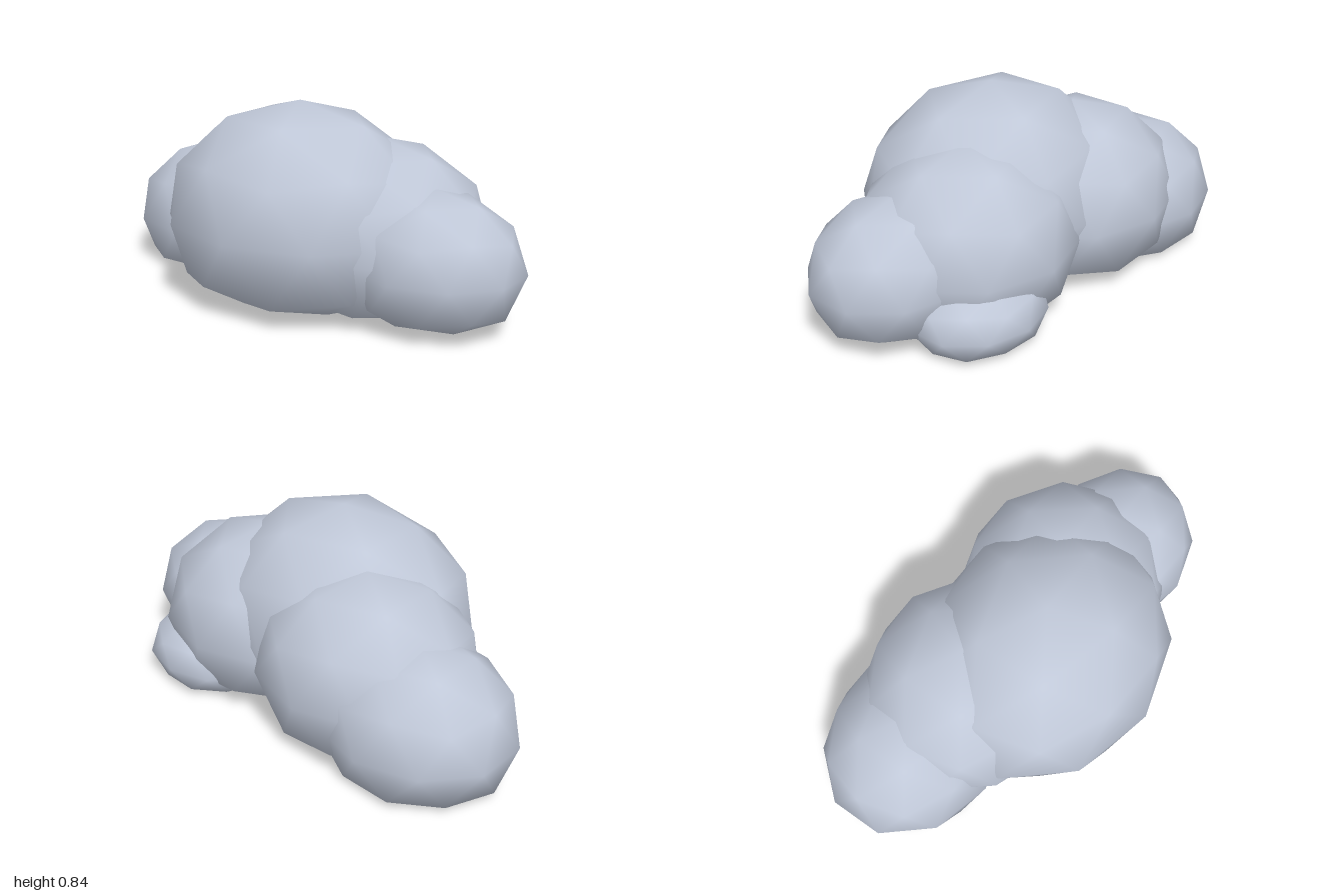
import * as THREE from 'three';
import { mergeVertices } from 'three/addons/utils/BufferGeometryUtils.js';

const FLOOR = 0.03;   // below this height the puffs are squashed flat
const SQUASH = 0.15;

// name, centre, radii
const PUFFS = [
  ['mainPuff', [0.02, 0.345, 0.06], [0.6, 0.495, 0.51]],
  ['leftInnerPuff', [0.32, 0.285, -0.065], [0.485, 0.42, 0.45]],
  ['leftOuterPuff', [0.633, 0.246, 0.02], [0.386, 0.31, 0.328]],
  ['leftBackPuff', [0.49, 0.11, -0.275], [0.306, 0.18, 0.257]],
  ['rightInnerPuff', [-0.28, 0.293, -0.135], [0.49, 0.42, 0.44]],
  ['rightOuterPuff', [-0.588, 0.195, -0.195], [0.433, 0.357, 0.371]],
];

// Low-poly ball with a vertex at its top, stretched, placed and flattened underneath
function puffGeometry(centre, radii) {
  let geo = new THREE.IcosahedronGeometry(1, 1);
  geo.deleteAttribute('uv');
  geo.deleteAttribute('normal');
  geo = mergeVertices(geo, 1e-4);
  geo.rotateX(-Math.atan((1 + Math.sqrt(5)) / 2));
  geo.rotateY(Math.PI / 2);
  geo.scale(...radii);
  geo.translate(...centre);
  const pos = geo.attributes.position;
  for (let i = 0; i < pos.count; i++) {
    const y = pos.getY(i);
    if (y < FLOOR) pos.setY(i, FLOOR + (y - FLOOR) * SQUASH);
  }
  geo.computeVertexNormals();
  return geo;
}

export function createModel() {
  const cloud = new THREE.Group();
  cloud.name = 'cloud';
  const material = new THREE.MeshStandardMaterial({ color: 0xc0c8d8 });
  material.name = 'paleBlueGrey';
  for (const [name, centre, radii] of PUFFS) {
    const puff = new THREE.Mesh(puffGeometry(centre, radii), material);
    puff.name = name;
    cloud.add(puff);
  }
  return cloud;
}
